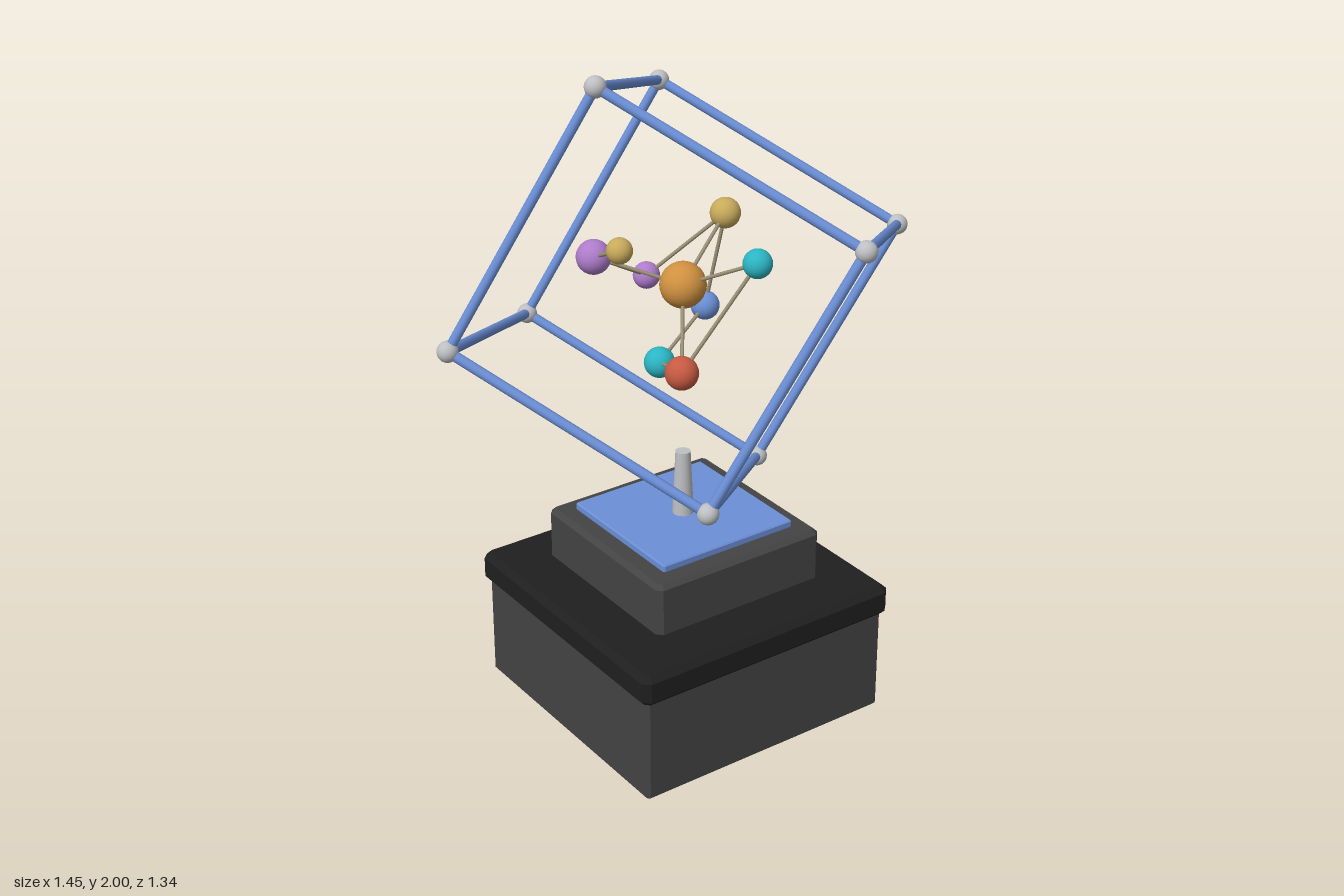
import * as THREE from 'three';

const mat = (name, color) => Object.assign(new THREE.MeshStandardMaterial({ color }), { name });

export function createModel() {
  const M = {
    charcoal: mat('charcoal', 0x444444),
    black: mat('black', 0x1f1f1f),
    blue: mat('blue', 0x6b8fd6),
    silver: mat('silver', 0xbdbfc2),
    orange: mat('orange', 0xcf9140),
    purple: mat('purple', 0xae7ccb),
    gold: mat('gold', 0xc8aa5c),
    teal: mat('teal', 0x2cb5c4),
    red: mat('red', 0xc65a42),
    link: mat('link', 0x9c9076),
  };
  const model = new THREE.Group();
  model.name = 'cubeSculpture';

  const add = (parent, name, geometry, material) => {
    const mesh = new THREE.Mesh(geometry, material);
    mesh.name = name;
    parent.add(mesh);
    return mesh;
  };
  const group = (name) => {
    const g = new THREE.Group();
    g.name = name;
    model.add(g);
    return g;
  };

  // Square block with cut corners and chamfered rims, from y0 to y1
  const block = (name, half, y0, y1, c, material) => {
    const h = half - c, k = h - c * 0.6;
    const shape = new THREE.Shape(
      [[h, -k], [h, k], [k, h], [-k, h], [-h, k], [-h, -k], [-k, -h], [k, -h]]
        .map(([x, y]) => new THREE.Vector2(x, y)));
    const geo = new THREE.ExtrudeGeometry(shape, {
      depth: y1 - y0 - 2 * c, bevelEnabled: true, bevelThickness: c, bevelSize: c, bevelSegments: 1,
    });
    geo.rotateX(-Math.PI / 2).translate(0, y0 + c, 0);
    return add(model, name, geo, material);
  };

  // Rod between two points
  const rod = (parent, name, a, b, radius, sides, material) => {
    const dir = b.clone().sub(a);
    const mesh = add(parent, name, new THREE.CylinderGeometry(radius, radius, dir.length(), sides), material);
    mesh.position.copy(a).add(b).multiplyScalar(0.5);
    mesh.quaternion.setFromUnitVectors(new THREE.Vector3(0, 1, 0), dir.normalize());
  };
  const ball = (parent, name, p, radius, material) =>
    add(parent, name, new THREE.SphereGeometry(radius, 20, 14), material).position.copy(p);

  // Stepped pedestal
  block('pedestalBody', 0.42, 0, 0.335, 0.008, M.charcoal);
  block('pedestalCap', 0.438, 0.32, 0.417, 0.018, M.black);
  block('upperBlock', 0.288, 0.415, 0.587, 0.014, M.charcoal);
  block('topPlate', 0.228, 0.585, 0.61, 0.004, M.blue);

  // Tapered stem
  add(model, 'stem', new THREE.CylinderGeometry(0.022, 0.032, 0.205, 20), M.silver)
    .position.set(0, 0.7075, 0);

  // Tilted wire cube: a top corner and its three edge vectors
  const cube = group('wireCube');
  const top = new THREE.Vector3(-0.3, 1.973, 0.03);
  const edges = [[0.573, -0.228, -0.535], [0.423, -0.358, 0.605], [-0.398, -0.698, -0.135]]
    .map((e) => new THREE.Vector3(...e));
  const corner = (i) => edges.reduce((p, e, k) => ((i >> k) & 1 ? p.add(e) : p), top.clone());
  for (let i = 0; i < 8; i++) {
    ball(cube, 'cubeCorner', corner(i), 0.03, M.silver);
    for (let k = 0; k < 3; k++) {
      if (!((i >> k) & 1)) rod(cube, 'cubeEdge', corner(i), corner(i | (1 << k)), 0.0145, 10, M.blue);
    }
  }

  // Cluster of coloured balls floating at the cube's centre
  const cluster = group('ballCluster');
  const balls = {
    core: [0, 1.333, 0, 0.067, 'orange'],
    purpleA: [-0.2, 1.415, -0.148, 0.05, 'purple'],
    purpleB: [0.043, 1.268, -0.243, 0.04, 'purple'],
    goldA: [0.218, 1.468, -0.098, 0.045, 'gold'],
    goldB: [-0.232, 1.5, 0.03, 0.037, 'gold'],
    tealA: [0.095, 1.447, 0.217, 0.042, 'teal'],
    tealB: [-0.05, 1.09, -0.045, 0.045, 'teal'],
    red: [-0.116, 1.152, 0.157, 0.048, 'red'],
    blue: [0.177, 1.177, -0.138, 0.043, 'blue'],
  };
  const at = (n) => new THREE.Vector3(...balls[n].slice(0, 3));
  for (const n in balls) ball(cluster, n + 'Ball', at(n), balls[n][3], M[balls[n][4]]);

  // Thin links between balls
  const links = [
    ['core', 'purpleA'], ['core', 'goldA'], ['core', 'red'], ['core', 'tealA'],
    ['purpleA', 'goldB'], ['purpleA', 'purpleB'], ['purpleB', 'goldA'],
    ['goldA', 'blue'], ['blue', 'tealB'], ['tealB', 'red'], ['red', 'tealA'],
  ];
  for (const [a, b] of links) rod(cluster, 'link', at(a), at(b), 0.0055, 8, M.link);

  return model;
}
